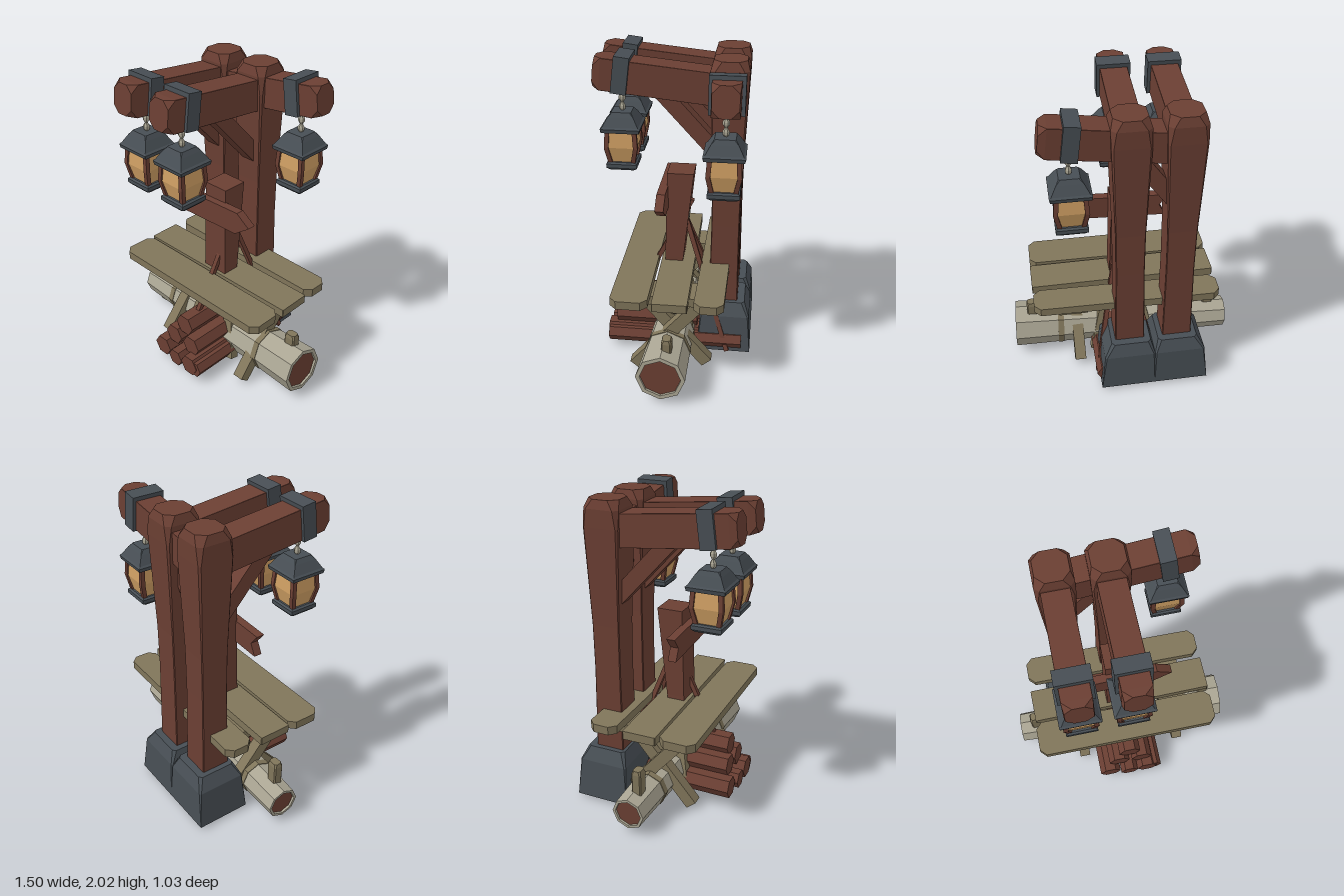
import * as THREE from 'three';

const material = (name, color) => {
  const m = new THREE.MeshStandardMaterial({ color });
  m.name = name;
  return m;
};
const V = (a) => new THREE.Vector3(...a);

// Faceted normals
function flat(g) {
  const f = g.index ? g.toNonIndexed() : g;
  f.computeVertexNormals();
  return f;
}

// Skin through chamfered rectangles; ring = [y, halfX, halfZ, chamfer, offsetX, offsetZ]
function loft(rings) {
  const pos = [];
  const pts = rings.map(([y, hx, hz, c = 0, ox = 0, oz = 0]) =>
    [[hx, hz - c], [hx, c - hz], [hx - c, -hz], [c - hx, -hz], [-hx, c - hz], [-hx, hz - c], [c - hx, hz], [hx - c, hz]]
      .map(([x, z]) => [x + ox, y, z + oz]));
  const tri = (...t) => t.forEach((p) => pos.push(...p));
  const last = pts.length - 1;
  for (let k = 0; k < last; k++) {
    for (let i = 0; i < 8; i++) {
      const j = (i + 1) % 8, a = pts[k], b = pts[k + 1];
      tri(a[i], a[j], b[j]);
      tri(a[i], b[j], b[i]);
    }
  }
  for (let i = 1; i < 7; i++) {
    tri(pts[last][0], pts[last][i], pts[last][i + 1]);
    tri(pts[0][0], pts[0][i + 1], pts[0][i]);
  }
  const g = new THREE.BufferGeometry();
  g.setAttribute('position', new THREE.Float32BufferAttribute(pos, 3));
  g.computeVertexNormals();
  return g;
}

export function createModel() {
  const model = new THREE.Group();
  model.name = 'lanternStand';
  const redWood = material('red wood', 0x6b3f33);
  const tanWood = material('tan wood', 0x80755a);
  const iron = material('iron and stone', 0x474e54);
  const bark = material('pale bark', 0xaaa593);
  const glass = material('amber glass', 0xcf9f63);

  const add = (name, geo, mat, parent = model) => {
    const m = new THREE.Mesh(geo, mat);
    m.name = name;
    parent.add(m);
    return m;
  };
  // Turn local y along a-b, with local z close to ref
  const orient = (obj, a, b, ref) => {
    const y = V(b).sub(V(a)).normalize();
    const x = y.clone().cross(V(ref)).normalize();
    obj.quaternion.setFromRotationMatrix(new THREE.Matrix4().makeBasis(x, y, x.clone().cross(y)));
    obj.position.copy(V(a));
    return obj;
  };
  // Timber from a to b; the far end can be chamfered
  const beam = (name, mat, a, b, hx, hz, ref, cut = 0) => {
    const len = V(a).distanceTo(V(b));
    const rings = cut
      ? [[0, hx, hz], [len - cut, hx, hz, 0.002], [len, hx - 0.006, hz - 0.006, cut]]
      : [[0, hx, hz], [len, hx, hz]];
    return orient(add(name, loft(rings), mat), a, b, ref);
  };
  const UP = [0, 1, 0], FRONT = [0, 0, 1];

  // Stone footing in two blocks
  for (const s of [-1, 1]) {
    add('stoneFooting', loft([
      [0, 0.18, 0.18, 0],
      [0.26, 0.167, 0.165, 0.01, -s * 0.013],
      [0.345, 0.13, 0.13, 0.02, -s * 0.025],
    ]), iron).position.set(-0.16 + s * 0.18, 0, -0.335);
  }

  // Main posts, with front arms, bands and braces
  for (const x of [-0.315, 0]) {
    add('post', loft([
      [0.02, 0.1, 0.1, 0.005], [0.9, 0.09, 0.09, 0.005], [1.2, 0.092, 0.092, 0.005],
      [1.82, 0.115, 0.115, 0.012], [1.93, 0.116, 0.116, 0.03], [1.985, 0.1, 0.1, 0.05],
    ]), redWood).position.set(x, 0, -0.32);
    beam('frontArm', redWood, [x, 1.8, -0.32], [x, 1.885, 0.51], 0.084, 0.1, UP, 0.045);
    beam('armBand', iron, [x, 1.874, 0.29], [x, 1.886, 0.385], 0.104, 0.114, UP);
    beam('armBrace', redWood, [x, 1.36, -0.28], [x, 1.8, 0.12], 0.05, 0.05, UP);
  }
  // Side arm
  beam('sideArm', redWood, [-0.31, 1.775, -0.32], [0.51, 1.88, -0.32], 0.083, 0.097, UP, 0.045);
  beam('armBand', iron, [0.285, 1.862, -0.32], [0.38, 1.874, -0.32], 0.104, 0.112, UP);
  beam('sideBrace', redWood, [-0.32, 1.33, -0.32], [-0.02, 1.74, -0.32], 0.05, 0.05, UP);

  // Hanging lanterns
  const beads = [[0.008, 0]];
  for (let i = 0; i < 3; i++) beads.push([0.021, 0.02 + i * 0.058], [0.021, 0.036 + i * 0.058], [0.009, 0.058 + i * 0.058]);
  const chainGeo = flat(new THREE.LatheGeometry(beads.map(([r, y]) => new THREE.Vector2(r, y)), 6));
  const roofGeo = loft([
    [0.255, 0.118, 0.118], [0.28, 0.124, 0.124, 0.004], [0.29, 0.112, 0.112],
    [0.345, 0.08, 0.08], [0.372, 0.062, 0.062, 0.008],
  ]);
  const baseGeo = loft([[0, 0.085, 0.085, 0.01], [0.015, 0.097, 0.097], [0.04, 0.097, 0.097], [0.05, 0.085, 0.085]]);
  const glassGeo = loft([[0.04, 0.07, 0.07], [0.15, 0.096, 0.096], [0.262, 0.085, 0.085]]);
  for (const [x, y, z] of [[-0.315, 1.265, 0.345], [0, 1.265, 0.345], [0.345, 1.253, -0.318]]) {
    const lantern = new THREE.Group();
    lantern.name = 'lantern';
    lantern.position.set(x, y, z);
    model.add(lantern);
    add('lanternBase', baseGeo, iron, lantern);
    add('lanternGlass', glassGeo, glass, lantern);
    add('lanternRoof', roofGeo, iron, lantern);
    add('chain', chainGeo, bark, lantern).position.y = 0.365;
    for (const sx of [-1, 1]) for (const sz of [-1, 1]) {
      const w = 0.014;
      add('lanternCorner', loft([[0.04, 0.07], [0.15, 0.092], [0.262, 0.084]]
        .map(([h, o]) => [h, w, w, 0, sx * o, sz * o])), redWood, lantern);
    }
  }

  // Leaning signpost and arrow board
  add('signPost', loft([
    [0.3, 0.095, 0.045, 0, -0.015, 0.04], [0.65, 0.092, 0.06, 0, -0.01, 0.012], [1.25, 0.088, 0.085, 0, -0.015, -0.026],
  ]), redWood);
  const arrow = new THREE.Shape([
    [-0.325, 1.15], [-0.265, 1.075], [-0.305, 0.995], [0.205, 1.015], [0.32, 1.1], [0.22, 1.17],
  ].reverse().map(([x, y]) => new THREE.Vector2(x, y)));
  add('signBoard', new THREE.ExtrudeGeometry(arrow, { depth: 0.055, bevelEnabled: false }), redWood).position.z = 0.052;

  // Tied tripod of sticks
  beam('stick', redWood, [0.0, 1.08, -0.01], [0.21, 0.01, -0.36], 0.015, 0.015, FRONT);
  beam('stick', redWood, [0.06, 1.06, -0.01], [-0.21, 0.01, -0.36], 0.015, 0.015, FRONT);
  beam('stick', redWood, [0.03, 1.06, -0.1], [0.0, 0.2, 0.33], 0.015, 0.015, FRONT);
  add('stickTie', new THREE.BoxGeometry(0.07, 0.03, 0.065), bark).position.set(0.03, 0.95, -0.05);

  // Table top planks with clipped corners
  const plank = (x0, x1, z0, z1, cut, turn) => {
    const hx = (x1 - x0) / 2, hz = (z1 - z0) / 2;
    const m = add('tablePlank', loft([[0.567, hx, hz, cut], [0.623, hx, hz, cut]]), tanWood);
    m.position.set((x0 + x1) / 2, 0, (z0 + z1) / 2);
    m.rotation.y = turn;
  };
  plank(-0.617, 0.612, 0.12, 0.355, 0.042, 0);
  plank(-0.612, 0.612, -0.122, 0.098, 0.004, 0.01);
  plank(-0.61, 0.608, -0.355, -0.17, 0.042, -0.01);

  // Trestles, stretcher and centre stand
  for (const x of [-0.355, 0.355]) {
    add('tableBearer', new THREE.BoxGeometry(0.19, 0.06, 0.6), tanWood).position.set(x, 0.538, 0);
    beam('tableLeg', tanWood, [x + 0.037, 0.005, 0.235], [x + 0.037, 0.53, -0.21], 0.037, 0.04, FRONT);
    beam('tableLeg', tanWood, [x - 0.037, 0.005, -0.235], [x - 0.037, 0.53, 0.21], 0.037, 0.04, FRONT);
  }
  add('stretcher', new THREE.BoxGeometry(0.62, 0.06, 0.07), tanWood).position.set(0, 0.38, -0.02);
  add('standBlock', new THREE.BoxGeometry(0.16, 0.13, 0.14), tanWood).position.set(0, 0.395, 0);
  for (const sx of [-1, 1]) for (const sz of [-1, 1]) {
    beam('standLeg', tanWood, [sx * 0.2, 0.005, sz * 0.13], [sx * 0.1, 0.44, sz * 0.04], 0.035, 0.03, FRONT);
  }

  // Stakes beside the log ends
  for (const x of [-0.625, 0.62]) {
    add('stake', loft([[0, 0.033, 0.03, 0.008], [0.36, 0.04, 0.032, 0.008], [0.385, 0.034, 0.026, 0.012]]), tanWood)
      .position.set(x, 0, -0.005);
  }

  // Long pale log, tapered and slightly askew
  const log = new THREE.Group();
  log.name = 'paleLog';
  model.add(log);
  const A = [-0.745, 0.122, -0.025], B = [0.745, 0.165, 0.022];
  orient(log, A, B, UP);
  const len = V(A).distanceTo(V(B)), r0 = 0.107, r1 = 0.157;
  const radius = (t) => r0 + (r1 - r0) * t;
  add('logBark', flat(new THREE.CylinderGeometry(r1, r0, len, 8, 1, true)), bark, log).position.y = len / 2;
  for (const [t, s] of [[0, -1], [1, 1]]) {
    const r = radius(t);
    const ring = add('logRim', flat(new THREE.LatheGeometry([
      new THREE.Vector2(r, 0), new THREE.Vector2(r * 0.83, 0), new THREE.Vector2(r * 0.83, -0.02),
    ], 8)), bark, log);
    const core = add('logCore', new THREE.CircleGeometry(r * 0.84, 8, Math.PI / 2), redWood, log);
    ring.position.y = t * len;
    if (s < 0) ring.rotation.x = Math.PI;
    core.position.y = t * len - s * 0.015;
    core.rotation.x = -s * Math.PI / 2;
  }
  for (const t of [0.2, 0.79]) {
    const r = radius(t) + 0.004;
    add('logBand', flat(new THREE.CylinderGeometry(r + 0.001, r, 0.04, 8)), tanWood, log).position.y = t * len;
  }

  // Firewood stack
  for (const [x, y, r, z0, z1] of [
    [0, 0.312, 0.076, -0.05, 0.375], [-0.08, 0.2, 0.074, -0.15, 0.4], [0.085, 0.195, 0.074, -0.15, 0.4],
    [-0.155, 0.08, 0.074, -0.4, 0.44], [0.12, 0.08, 0.074, -0.455, 0.455], [0.165, 0.075, 0.06, -0.455, 0.45],
    [-0.015, 0.065, 0.062, -0.45, 0.455],
  ]) {
    const g = new THREE.CylinderGeometry(r, r, z1 - z0, 6, 1, false, Math.PI / 6);
    const m = add('firewood', flat(g), redWood);
    m.rotation.x = Math.PI / 2;
    m.position.set(x, y, (z0 + z1) / 2);
  }
  return model;
}
